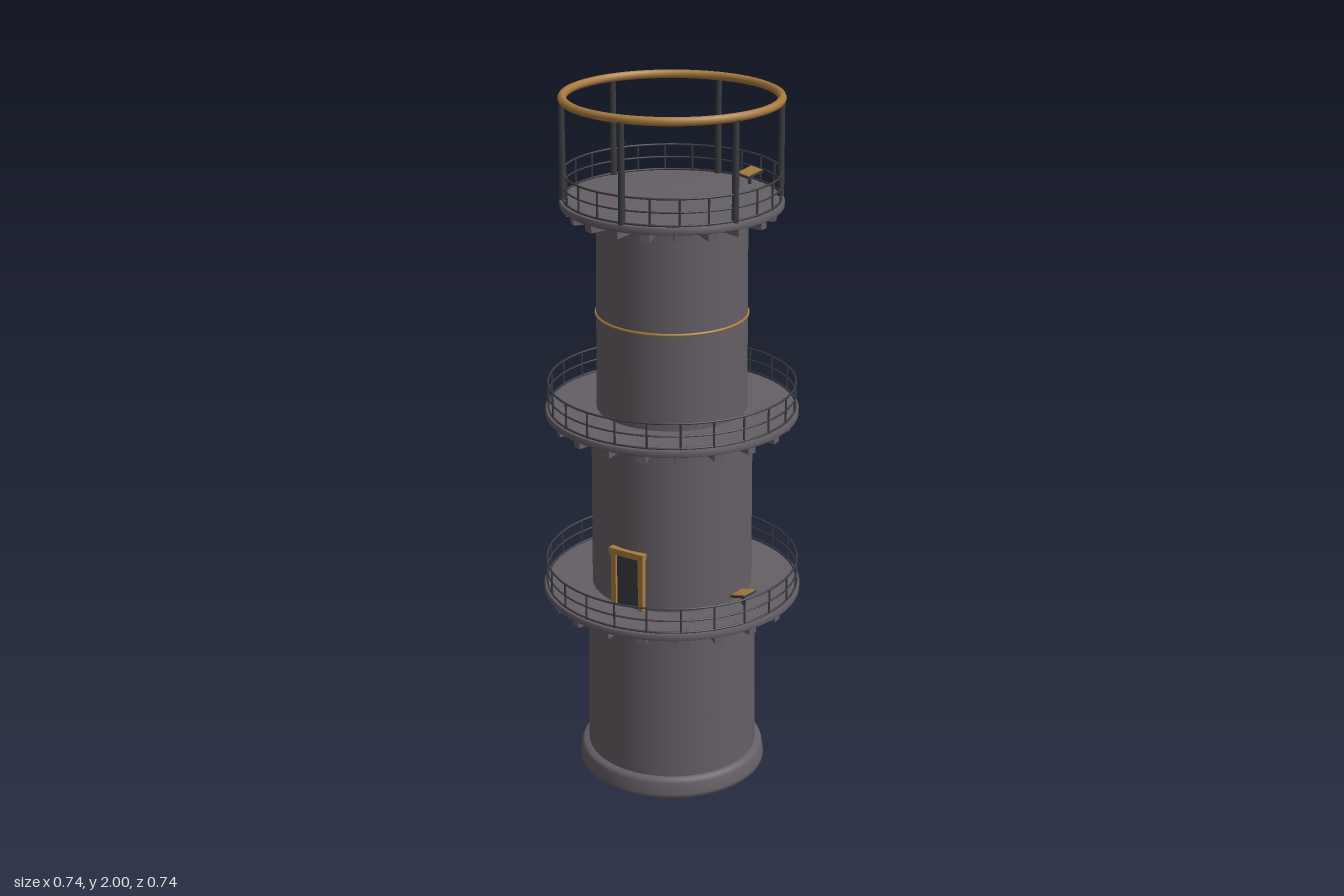
import * as THREE from 'three';

const mat = (name, color, side = THREE.FrontSide) => {
  const m = new THREE.MeshStandardMaterial({ color, side });
  m.name = name;
  return m;
};

export function createModel() {
  const steel = mat('dark steel', 0x655f66);
  const iron = mat('black iron', 0x3b3c41);
  const ochre = mat('ochre paint', 0xa97c40);
  const tower = new THREE.Group();
  tower.name = 'tower';

  const add = (parent, name, geo, material, x = 0, y = 0, z = 0) => {
    const m = new THREE.Mesh(geo, material);
    m.name = name;
    m.position.set(x, y, z);
    parent.add(m);
    return m;
  };
  // group turned so that its local +z points outward
  const spoke = (parent, name, angle) => {
    const g = new THREE.Group();
    g.name = name;
    g.rotation.y = angle;
    parent.add(g);
    return g;
  };
  const lathe = pts => new THREE.LatheGeometry(pts.map(p => new THREE.Vector2(...p)), 64);
  const hoop = (parent, name, r, tube, y, material) => {
    const m = add(parent, name, new THREE.TorusGeometry(r, tube, 8, 64), material, 0, y, 0);
    m.rotation.x = Math.PI / 2;
    return m;
  };

  // base flange and three stepped wall sections
  add(tower, 'baseFlange', lathe([[0, 0], [0.273, 0], [0.273, 0.012], [0.268, 0.045], [0.262, 0.056], [0.245, 0.058]]), steel);
  const sections = [
    ['lowerWall', 0.247, 0.05, 0.241, 0.56],
    ['middleWall', 0.23, 0.57, 0.227, 1.1],
    ['upperWall', 0.212, 1.1, 0.207, 1.7],
  ];
  for (const [name, r0, y0, r1, y1] of sections) {
    const h = y1 - y0;
    add(tower, name, new THREE.CylinderGeometry(r1, r0, h, 64, 1, true), steel, 0, y0 + h / 2, 0);
  }

  // decks, each with brackets, railing and a tilted control panel
  const decks = [
    { name: 'lowerDeck', r: 0.37, wall: 0.235, y: 0.577, panel: 0 },
    { name: 'middleDeck', r: 0.356, wall: 0.22, y: 1.115, panel: 2.84 },
    { name: 'topDeck', r: 0.305, wall: 0.2, y: 1.713, panel: 1.3 },
  ];
  const postGeo = new THREE.CylinderGeometry(0.003, 0.003, 0.074, 6);
  for (const d of decks) {
    const g = new THREE.Group();
    g.name = d.name;
    g.position.y = d.y;
    tower.add(g);
    add(g, 'deckPlate', lathe([[0, -0.021], [d.r - 0.004, -0.021], [d.r, -0.018], [d.r, -0.003], [d.r - 0.004, 0], [0, 0]]), steel);

    const outer = d.r - 0.018, length = outer - d.wall;
    const bracketGeo = new THREE.BoxGeometry(0.026, 0.026, length);
    for (let i = 0; i < 20; i++) {
      const s = spoke(g, 'bracket', (i + 0.5) * Math.PI / 10);
      add(s, 'bracketBeam', bracketGeo, steel, 0, -0.033, d.wall + length / 2);
    }

    const railR = d.r - 0.009;
    hoop(g, 'kickRail', railR, 0.003, 0.003, iron);
    hoop(g, 'midRail', railR, 0.0025, 0.038, iron);
    hoop(g, 'topRail', railR, 0.003, 0.074, iron);
    for (let i = 0; i < 24; i++) {
      const a = i * Math.PI / 12;
      add(g, 'railPost', postGeo, iron, railR * Math.sin(a), 0.037, railR * Math.cos(a));
    }

    const p = spoke(g, 'controlPanel', d.panel);
    const r = d.r === 0.305 ? 0.258 : 0.268;
    add(p, 'panelStand', new THREE.CylinderGeometry(0.005, 0.005, 0.03, 8), iron, 0, 0.015, r);
    const head = new THREE.Group();
    head.name = 'panelHead';
    head.position.set(0, 0.032, r);
    head.rotation.x = -0.26;
    p.add(head);
    add(head, 'panelCase', new THREE.BoxGeometry(0.055, 0.006, 0.052), iron);
    add(head, 'panelFace', new THREE.BoxGeometry(0.051, 0.003, 0.048), ochre, 0, 0.004, 0);
  }

  // thin painted band round the upper wall
  hoop(tower, 'wallBand', 0.2105, 0.004, 1.39, ochre);

  // doorway on the lower deck
  const door = spoke(tower, 'doorway', Math.atan2(-0.23, 0.036));
  for (const s of [-1, 1]) add(door, 'doorJamb', new THREE.BoxGeometry(0.016, 0.16, 0.024), ochre, s * 0.045, 0.655, 0.226);
  add(door, 'doorLintel', new THREE.BoxGeometry(0.112, 0.018, 0.03), ochre, 0, 0.744, 0.228);
  add(door, 'doorLeaf', new THREE.BoxGeometry(0.076, 0.158, 0.008), iron, 0, 0.655, 0.226);

  // crown ring on six struts
  hoop(tower, 'crownRing', 0.293, 0.012, 1.988, ochre);
  for (let i = 0; i < 6; i++) {
    const a = Math.PI / 12 + i * Math.PI / 3;
    add(tower, 'crownStrut', new THREE.CylinderGeometry(0.008, 0.01, 0.275, 8), iron,
      0.295 * Math.cos(a), 1.848, -0.295 * Math.sin(a));
  }
  return tower;
}
